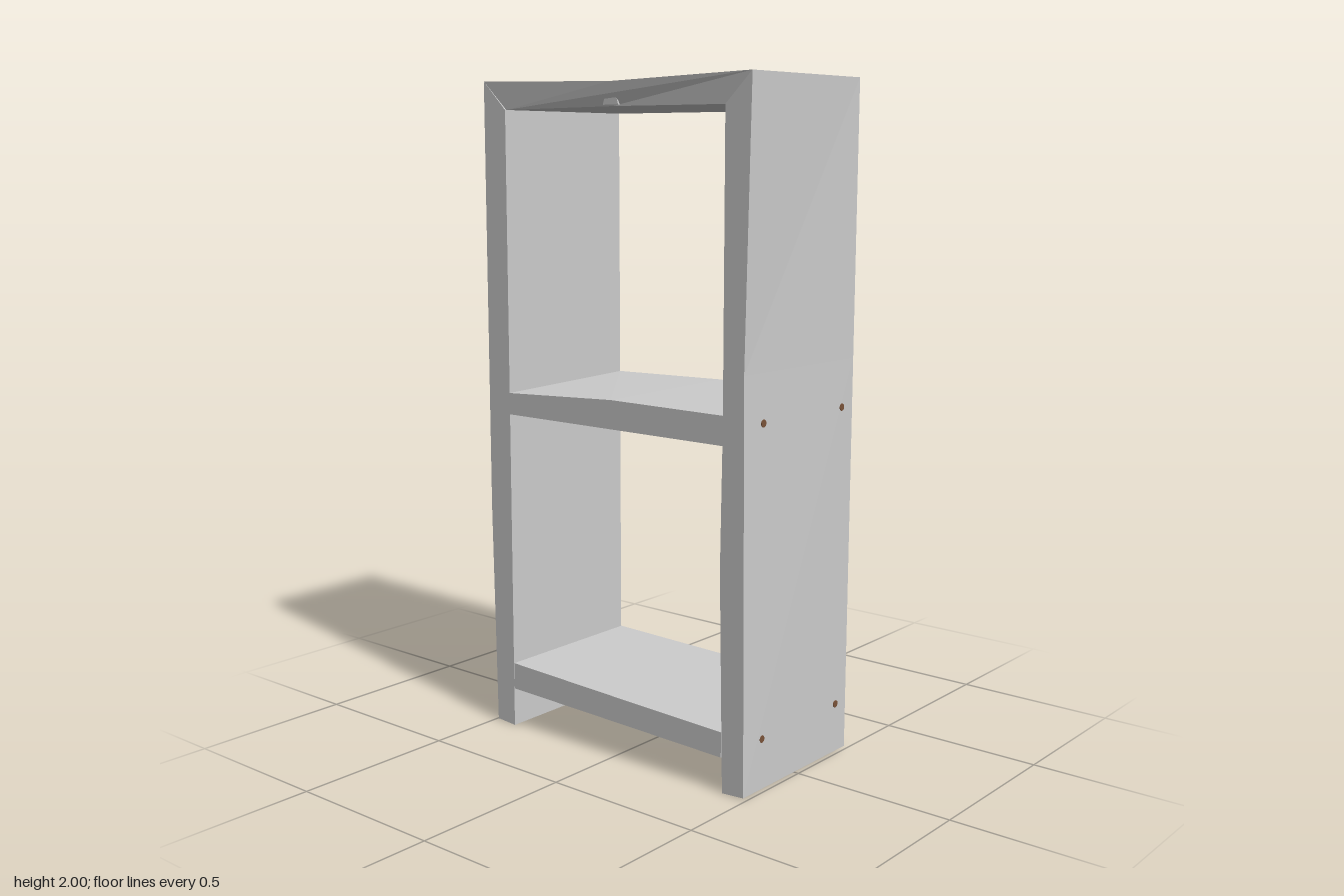
import * as THREE from 'three';

const D = 0.255; // half depth of the boards

// Board lofted between matching front and back outlines; a point may carry its own z.
function board(name, front, back, material) {
  const shape = new THREE.Shape(front.map(([x, y]) => new THREE.Vector2(x, y)));
  const geometry = new THREE.ExtrudeGeometry(shape, { depth: 1, steps: 1, bevelEnabled: false });
  const pos = geometry.attributes.position;
  for (let i = 0; i < pos.count; i++) {
    const x = pos.getX(i), y = pos.getY(i), isFront = pos.getZ(i) > 0.5;
    const k = front.findIndex(p => Math.hypot(p[0] - x, p[1] - y) < 1e-4);
    const p = (isFront ? front : back)[k];
    pos.setXYZ(i, p[0], p[1], p[2] ?? (isFront ? D : -D));
  }
  geometry.computeVertexNormals();
  const mesh = new THREE.Mesh(geometry, material);
  mesh.name = name;
  return mesh;
}

export function createModel() {
  const group = new THREE.Group();
  group.name = 'shelfUnit';
  const grey = new THREE.MeshStandardMaterial({ color: 0xcccccc, flatShading: true });
  const brown = new THREE.MeshStandardMaterial({ color: 0x7a5238 });

  // Uprights, slightly warped and mitred at the top
  group.add(board('rightUpright',
    [[-0.5, 2], [-0.5, 0.7], [-0.488, 0.005], [-0.415, 0], [-0.413, 0.9], [-0.412, 1.915]],
    [[-0.5, 2], [-0.5, 0.7], [-0.5, 0.005], [-0.415, 0], [-0.413, 0.9], [-0.412, 1.915]], grey));
  group.add(board('leftUpright',
    [[0.5, 2], [0.412, 1.915], [0.41, 1.05], [0.403, 0.65], [0.415, 0], [0.49, 0.005], [0.481, 1.2]],
    [[0.5, 2], [0.412, 1.915], [0.412, 1.05], [0.41, 0.65], [0.415, 0], [0.491, 0.005], [0.496, 1.2]], grey));

  // Top board, sagging a little at the front
  group.add(board('topBoard',
    [[-0.5, 2], [-0.412, 1.915, 0.25], [0, 1.918, 0.238], [0.412, 1.915, 0.25], [0.5, 2], [0, 1.986]],
    [[-0.5, 2], [-0.412, 1.915], [0, 1.913], [0.412, 1.915], [0.5, 2], [0, 1.998]], grey));

  // Shelves
  group.add(board('middleShelf',
    [[-0.413, 1], [0.41, 1], [0.41, 1.084], [0, 1.086], [-0.413, 1.066]],
    [[-0.413, 1], [0.412, 1], [0.412, 1.084], [0, 1.09], [-0.413, 1.08]], grey));
  group.add(board('bottomShelf',
    [[-0.413, 0.122], [0.41, 0.105], [0.41, 0.18], [0, 0.192], [-0.413, 0.205]],
    [[-0.413, 0.122], [0.41, 0.105], [0.41, 0.193], [0, 0.198], [-0.413, 0.205]], grey));

  // Small knot on the front edge of the top board
  const knot = new THREE.Mesh(
    new THREE.CylinderGeometry(0.028, 0.028, 0.02, 10, 1, false, Math.PI / 2, Math.PI), grey);
  knot.rotation.x = Math.PI / 2;
  knot.position.set(0, 1.922, 0.237);
  knot.name = 'edgeKnot';
  group.add(knot);

  // Screw heads in the top and the sides
  const screwGeometry = new THREE.CylinderGeometry(0.011, 0.011, 0.02, 10);
  const screw = (name, x, y, z, turn = 0) => {
    const mesh = new THREE.Mesh(screwGeometry, brown);
    mesh.name = name;
    mesh.rotation.z = turn;
    mesh.position.set(x, y, z);
    group.add(mesh);
  };
  for (const [x, z] of [[-0.46, -0.2], [0.475, -0.2], [-0.46, 0.165], [0.465, 0.165]])
    screw('topScrew', x, 1.991, z);
  for (const [y, z, left, right] of [
    [1.06, 0.17, 0.484, 0.5], [1.06, -0.2, 0.494, 0.5],
    [0.155, 0.17, 0.489, 0.49], [0.155, -0.2, 0.491, 0.499]]) {
    screw('sideScrew', left - 0.007, y, z, Math.PI / 2);
    screw('sideScrew', -right + 0.007, y, z, Math.PI / 2);
  }
  return group;
}
